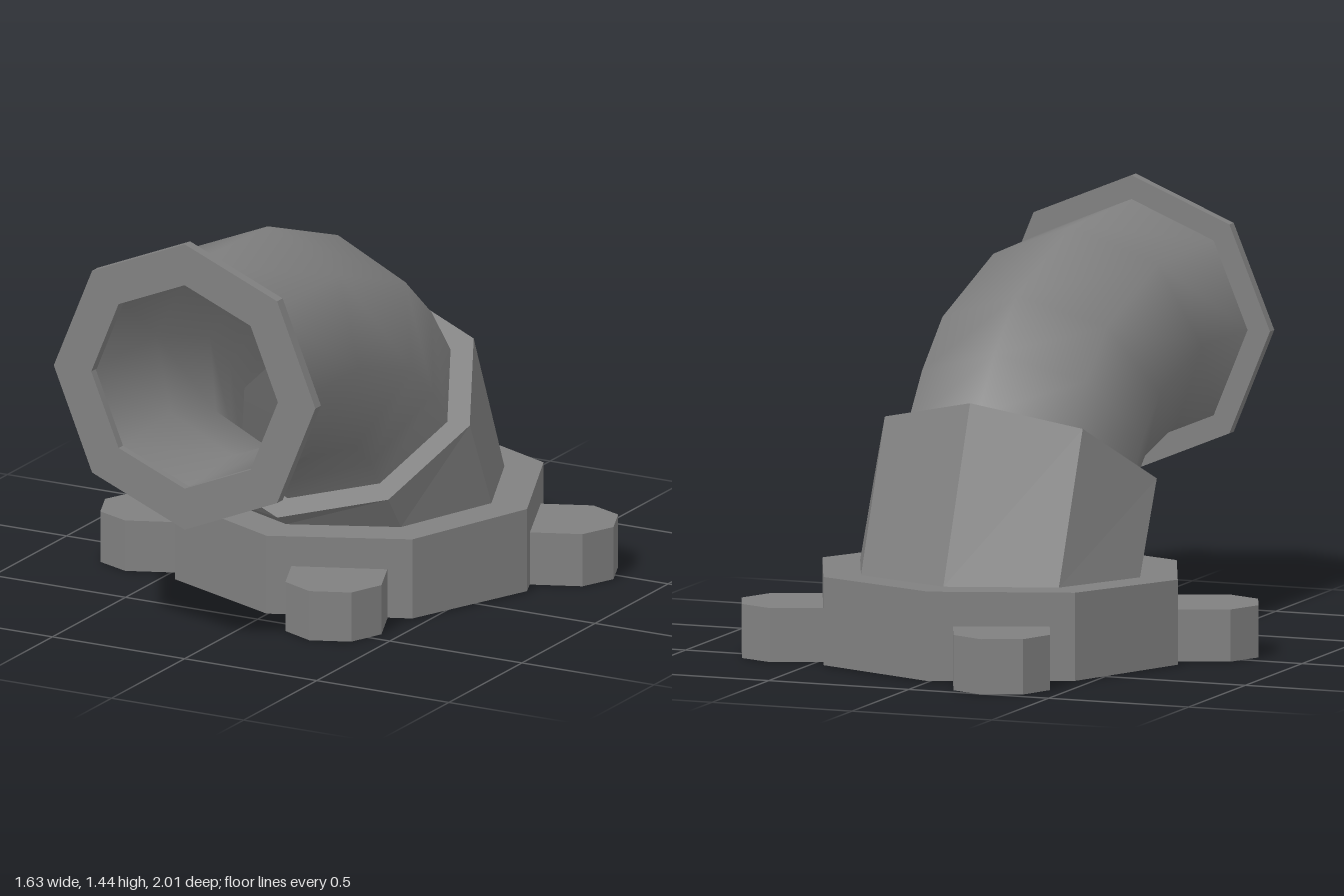
import * as THREE from 'three';

const SIDES = 8;
const BASE_Z = -0.195;

const grey = new THREE.MeshStandardMaterial({ color: 0x808080, side: THREE.DoubleSide });
grey.name = 'grey metal';

// Eight-sided ring across x; (dy, dz) is the direction of its uppermost/back corner
function ring(r, y, z, dy, dz) {
  return Array.from({ length: SIDES }, (_, k) => {
    const a = (k / SIDES) * Math.PI * 2;
    const c = r * Math.cos(a);
    return [r * Math.sin(a), y + c * dy, z + c * dz];
  });
}

// Skin between successive cross-sections
function loft(rings, { smooth = false, closed = true } = {}) {
  const n = rings[0].length;
  const index = [];
  for (let i = 0; i < rings.length - 1; i++) {
    for (let k = 0; k < (closed ? n : n - 1); k++) {
      const a = i * n + k, b = i * n + ((k + 1) % n);
      index.push(a, a + n, b, b, a + n, b + n);
    }
  }
  let geo = new THREE.BufferGeometry();
  geo.setAttribute('position', new THREE.Float32BufferAttribute(rings.flat(2), 3));
  geo.setIndex(index);
  if (!smooth) geo = geo.toNonIndexed();
  geo.computeVertexNormals();
  return geo;
}

function part(name, geo) {
  const mesh = new THREE.Mesh(geo, grey);
  mesh.name = name;
  return mesh;
}

export function createModel() {
  const model = new THREE.Group();
  model.name = 'pipeElbow';

  // Cross-sections that recur: horizontal base, tilted collar mouth, upright outlet
  const floor = (r) => ring(r, 0.005, BASE_Z, 0, -1);
  const baseTop = (r) => ring(r, 0.29, BASE_Z, 0.0236, -1);
  const mouth = (r) => ring(r, 0.6, -0.047, 0.565, -0.825);
  const outlet = (r, z) => ring(r, 0.945, z, 1, 0);

  // Bend of the pipe from the collar to the outlet
  const bend = (r) => [
    mouth(r),
    ring(r, 0.725, 0.05, 0.701, -0.713),
    ring(r, 0.845, 0.19, 0.817, -0.577),
    ring(r, 0.952, 0.56, 0.95, -0.312),
    outlet(r, 0.97),
  ];

  // Hollow base, open underneath, and the skewed collar on it
  model.add(part('base', loft([floor(0.635), baseTop(0.635), baseTop(0.5)])));
  model.add(part('collar', loft([baseTop(0.5), mouth(0.5), mouth(0.353)])));

  // Pipe walls
  model.add(part('pipeOuter', loft(bend(0.415), { smooth: true })));
  model.add(part('pipeInner', loft(bend(0.353).reverse(), { smooth: true })));

  // Outlet flange
  model.add(part('outletFlange', loft([
    outlet(0.353, 0.962), outlet(0.495, 0.962), outlet(0.495, 1),
    outlet(0.353, 1), outlet(0.353, 0.962),
  ])));

  // Four hollow lugs on alternate sides of the base
  const outline = [
    [-0.16, 0.58], [-0.16, 0.762], [-0.07, 0.855],
    [0.07, 0.855], [0.16, 0.762], [0.16, 0.58],
  ];
  for (let i = 0; i < 4; i++) {
    const angle = Math.PI / 8 + (i * Math.PI) / 2;
    const h = 0.18 + 0.008 * Math.cos(angle);
    const lug = part('lug', loft([
      outline.map(([x, d]) => [x, 0.002, -d]),
      outline.map(([x, d]) => [x, h, -d]),
      outline.map(() => [0, h, -0.58]),
    ], { closed: false }));
    lug.position.z = BASE_Z;
    lug.rotation.y = angle;
    model.add(lug);
  }

  return model;
}
